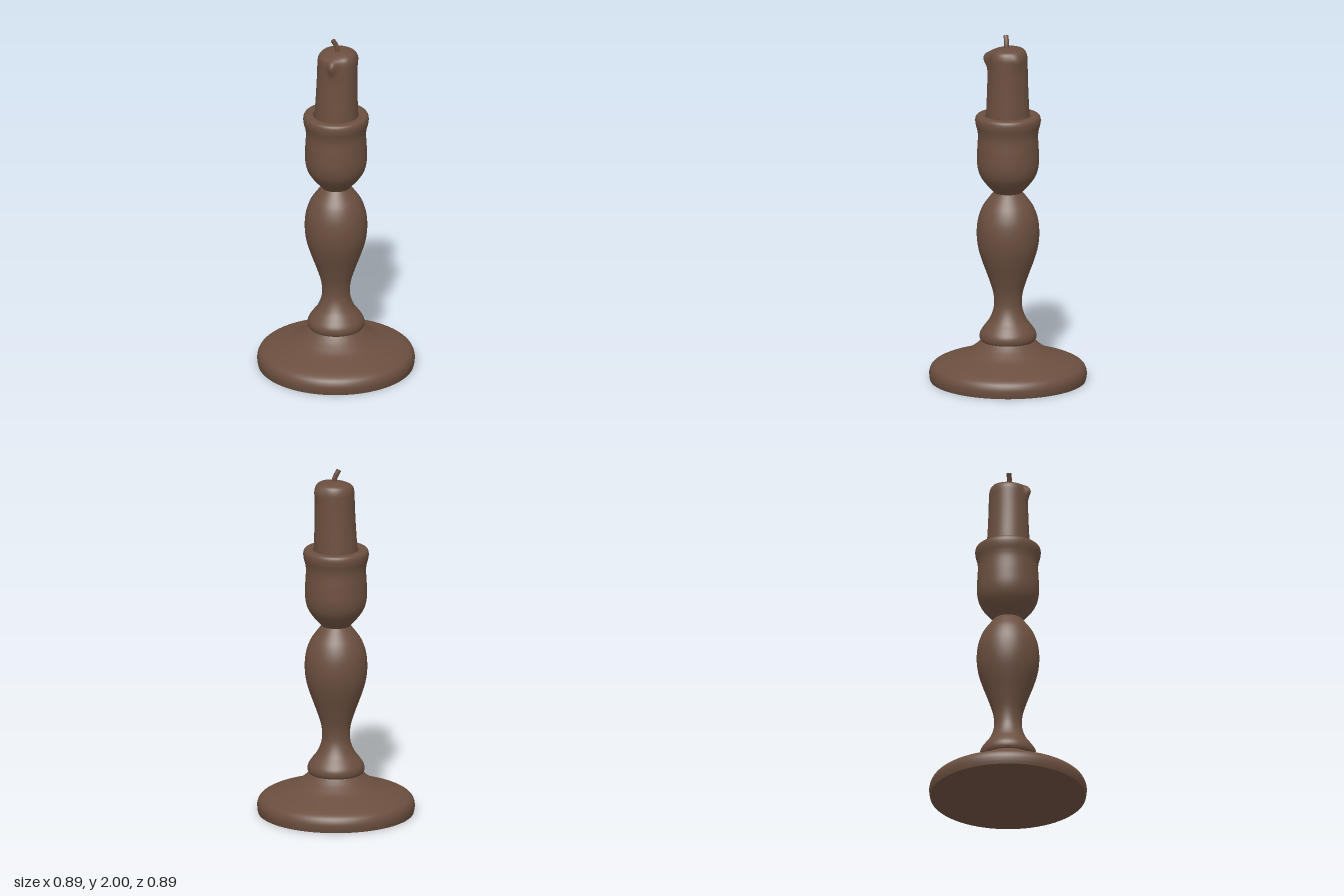
import * as THREE from 'three';
import { mergeVertices } from 'three/addons/utils/BufferGeometryUtils.js';

const brown = new THREE.MeshStandardMaterial({ color: 0x6b4f3f });
brown.name = 'brown';

// Smooth turned shape from [radius, height] points, bottom to top
function turned(name, points, steps = 40, segments = 72) {
  const curve = new THREE.SplineCurve(points.map(([r, y]) => new THREE.Vector2(r, y)));
  const profile = curve.getPoints(steps);
  profile.forEach((p) => { p.x = Math.max(p.x, 0); });
  const mesh = new THREE.Mesh(new THREE.LatheGeometry(profile, segments), brown);
  mesh.name = name;
  return mesh;
}

const bump = (d, width) => Math.exp(-(d * d) / (width * width));

// Slightly leaning candle, with melted shoulder and two wax drips
function candle() {
  const mesh = turned('candle', [
    [0.122, 1.48], [0.121, 1.56], [0.117, 1.66], [0.114, 1.76], [0.113, 1.84], [0.111, 1.88],
    [0.1, 1.908], [0.078, 1.922], [0.04, 1.93], [0, 1.93],
  ], 54, 80);
  let geo = mesh.geometry;
  geo.deleteAttribute('normal');
  geo.deleteAttribute('uv');
  geo = mergeVertices(geo, 1e-5);
  const pos = geo.attributes.position;
  const drips = [
    { angle: Math.atan2(0.075, -0.115), y: 1.865, grow: 0.026, w: 0.17, h: 0.04 },
    { angle: Math.atan2(0.04, 0.12), y: 1.875, grow: 0.01, w: 0.3, h: 0.04 },
  ];
  for (let i = 0; i < pos.count; i++) {
    let x = pos.getX(i), y = pos.getY(i), z = pos.getZ(i);
    const r = Math.hypot(x, z), a = Math.atan2(z, x);
    const t = THREE.MathUtils.clamp((y - 1.52) / 0.36, 0, 1);
    const rim = THREE.MathUtils.smoothstep(r, 0.03, 0.1);
    let grow = 0;
    for (const d of drips) {
      const da = Math.atan2(Math.sin(a - d.angle), Math.cos(a - d.angle));
      grow += d.grow * bump(da, d.w) * bump(y - d.y, d.h) * rim;
    }
    // shallow flat beside the large drip
    grow -= 0.008 * bump(a - 2.05, 0.3) * t * rim;
    const s = r > 1e-4 ? (r + grow) / r : 1;
    x = x * s + 0.004 * t;
    z = z * s + 0.002 + 0.007 * t;
    // melted top sinks to the left
    if (y > 1.89) y += (x > 0 ? 0.03 : 0.1) * x * THREE.MathUtils.smoothstep(y, 1.89, 1.92);
    pos.setXYZ(i, x, y, z);
  }
  geo.computeVertexNormals();
  mesh.geometry = geo;
  return mesh;
}

// Bent wick with a flat tip
function wick() {
  const group = new THREE.Group();
  group.name = 'wick';
  const path = new THREE.CatmullRomCurve3([
    new THREE.Vector3(0.003, 1.9, 0.014), new THREE.Vector3(0, 1.94, 0.012),
    new THREE.Vector3(-0.008, 1.968, 0.004), new THREE.Vector3(-0.02, 1.993, -0.004),
  ]);
  const stem = new THREE.Mesh(new THREE.TubeGeometry(path, 12, 0.014, 10), brown);
  stem.name = 'wickStem';
  const tip = new THREE.Mesh(new THREE.CircleGeometry(0.014, 10), brown);
  tip.name = 'wickTip';
  tip.position.copy(path.getPoint(1));
  tip.quaternion.setFromUnitVectors(new THREE.Vector3(0, 0, 1), path.getTangent(1));
  group.add(stem, tip);
  return group;
}

export function createModel() {
  const model = new THREE.Group();
  model.name = 'candlestick';

  // Broad foot with flat underside
  model.add(turned('foot', [
    [0.437, 0], [0.442, 0.025], [0.441, 0.055], [0.425, 0.085], [0.385, 0.108], [0.32, 0.13],
    [0.25, 0.155], [0.195, 0.19], [0.165, 0.215], [0.148, 0.232],
  ]));
  const underside = new THREE.Mesh(new THREE.CircleGeometry(0.437, 72), brown);
  underside.name = 'underside';
  underside.rotation.x = Math.PI / 2;
  model.add(underside);

  // Baluster stem above a rounded collar
  model.add(turned('stem', [
    [0.14, 0.226], [0.153, 0.232], [0.16, 0.252], [0.155, 0.28], [0.132, 0.315], [0.106, 0.35],
    [0.085, 0.4], [0.078, 0.45], [0.085, 0.515], [0.112, 0.6], [0.145, 0.69], [0.168, 0.77],
    [0.176, 0.85], [0.169, 0.93], [0.145, 1.0], [0.112, 1.05], [0.08, 1.09],
  ], 80));

  // Cup with flared rim and a recess for the candle
  model.add(turned('cup', [
    [0.078, 1.086], [0.09, 1.102], [0.125, 1.14], [0.158, 1.19], [0.173, 1.25], [0.173, 1.33],
    [0.169, 1.41], [0.173, 1.45], [0.182, 1.485], [0.184, 1.513], [0.177, 1.532], [0.16, 1.539],
    [0.138, 1.538], [0.127, 1.53], [0.124, 1.49],
  ], 80));
  const floor = new THREE.Mesh(new THREE.CircleGeometry(0.126, 48), brown);
  floor.name = 'cupFloor';
  floor.rotation.x = -Math.PI / 2;
  floor.position.y = 1.49;
  model.add(floor);

  model.add(candle(), wick());
  return model;
}
